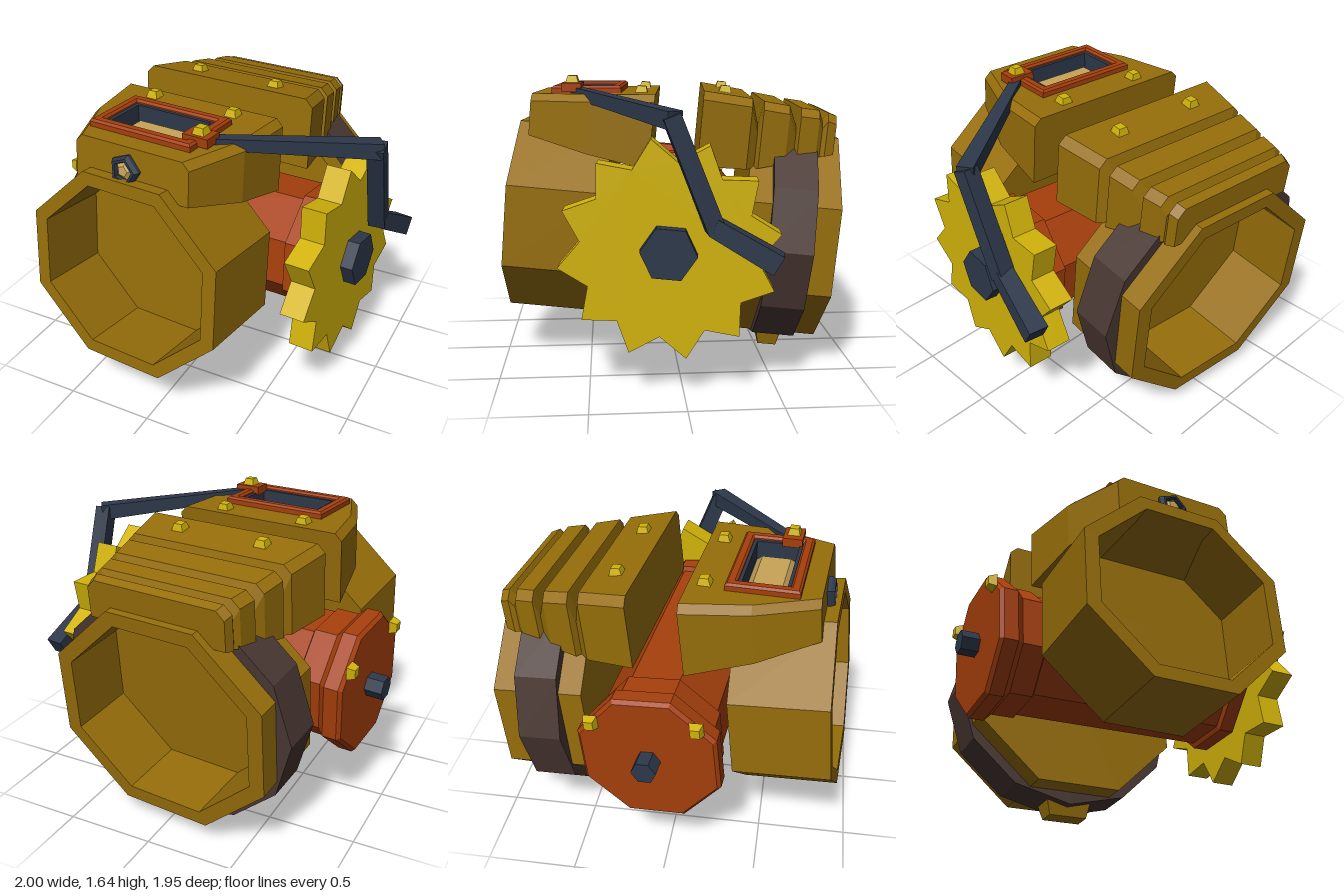
import * as THREE from 'three';

const mat = (name, color) => Object.assign(new THREE.MeshStandardMaterial({ color }), { name });

export function createModel() {
  const brass = mat('aged brass', 0x966e0a), yellow = mat('bright yellow', 0xd2b30a);
  const red = mat('rust red', 0xa63f0c), navy = mat('dark steel', 0x2d384a);
  const leather = mat('dark leather', 0x4a3833), tan = mat('pale glass', 0xc8a458);

  const model = new THREE.Group();
  model.name = 'device';
  // the body is turned and pitched slightly about its axle
  const body = new THREE.Group();
  body.name = 'body';
  body.position.y = 0.78;
  body.rotation.set(-0.09, -0.087, 0);
  model.add(body);

  // adds a faceted mesh
  const add = (parent, name, geo, material, x = 0, y = 0, z = 0) => {
    const g = geo.index ? geo.toNonIndexed() : geo;
    g.computeVertexNormals();
    const m = new THREE.Mesh(g, material);
    m.name = name;
    m.position.set(x, y, z);
    parent.add(m);
    return m;
  };
  const lathe = (pts, sides) =>
    new THREE.LatheGeometry(pts.map(p => new THREE.Vector2(...p)), sides, Math.PI / sides);
  const extrude = (shape, depth, bevel = 0) => new THREE.ExtrudeGeometry(shape, {
    depth, bevelEnabled: bevel > 0, bevelSize: bevel, bevelThickness: bevel, bevelSegments: 1 });
  const rect = (w, d, Type = THREE.Shape) => new Type(
    [[-w, -d], [w, -d], [w, d], [-w, d]].map(p => new THREE.Vector2(...p)));
  // four-sided frustum with bottom and top sizes
  const frustum = (w0, d0, w1, d1, h) => {
    const g = new THREE.BoxGeometry(1, h, 1), p = g.attributes.position;
    for (let i = 0; i < p.count; i++) {
      const top = p.getY(i) > 0;
      p.setX(i, p.getX(i) * (top ? w1 : w0));
      p.setZ(i, p.getZ(i) * (top ? d1 : d0));
    }
    return g;
  };
  const bolt = () => frustum(0.075, 0.075, 0.05, 0.05, 0.045);

  // chamfered housing from sections [z, half width, top, bottom, centre x]
  const housing = (sections, c, openTop) => {
    const pos = [], idx = [], n = 6;
    for (const [z, w, t, b, cx] of sections)
      for (const [x, y] of [[-w, b], [w, b], [w, t - c], [w - c, t], [c - w, t], [-w, t - c]])
        pos.push(cx + x, y, z);
    const last = (sections.length - 1) * n;
    for (let s = 0; s < last; s += n)
      for (let j = 0; j < n; j++) {
        if (openTop && j === 3) continue;
        const k = (j + 1) % n;
        idx.push(s + j, s + k, s + n + k, s + j, s + n + k, s + n + j);
      }
    for (let j = 1; j < n - 1; j++) idx.push(0, j + 1, j, last, last + j, last + j + 1);
    const g = new THREE.BufferGeometry();
    g.setAttribute('position', new THREE.Float32BufferAttribute(pos, 3));
    g.setIndex(idx);
    return g;
  };

  // octagonal barrels, hollow at their outer ends
  const barrel = (near, far, floor) => lathe(
    [[0, near], [0.63, near], [0.63, far], [0.545, far], [0.55, floor], [0, floor]], 8);
  add(body, 'frontBarrel', barrel(0.385, 0.92, 0.5).rotateX(Math.PI / 2), brass, -0.09, -0.02, 0)
    .scale.set(1, 0.935, 1);
  add(body, 'rearBarrel', barrel(0.39, 0.895, 0.5).rotateX(-Math.PI / 2), brass, -0.1, 0, 0)
    .scale.set(1.09, 1.01, 1);

  // twelve-sided strap, open under the ribbed cowl
  const strap = new THREE.Shape();
  const arc = (rx, ry, i) => {
    const a = (120 + i * 30) * Math.PI / 180;
    return [rx * Math.cos(a), ry * Math.sin(a)];
  };
  strap.moveTo(...arc(0.72, 0.665, 0));
  for (let i = 1; i <= 10; i++) strap.lineTo(...arc(0.72, 0.665, i));
  for (let i = 10; i >= 0; i--) strap.lineTo(...arc(0.62, 0.58, i));
  add(body, 'rearStrap', extrude(strap, 0.24), leather, -0.1, 0, -0.76);
  add(body, 'foot', frustum(0.24, 0.11, 0.3, 0.16, 0.12), brass, -0.09, -0.66, -0.64);

  // axle drum with its flange and collar, sagging a little at the flange end
  const axle = new THREE.Group();
  axle.name = 'axle';
  axle.position.y = -0.008;
  axle.rotation.z = 0.018;
  body.add(axle);
  const drum = [[0, -0.9], [0.385, -0.9], [0.405, -0.88], [0.405, -0.8], [0.365, -0.76], [0.365, -0.63],
    [0.345, -0.62], [0.345, 0.56], [0.375, 0.57], [0.375, 0.66], [0, 0.66]];
  add(axle, 'axleDrum', lathe(drum, 8).rotateZ(-Math.PI / 2), red);
  for (const z of [-0.28, 0.28])
    add(axle, 'flangeBolt', bolt().rotateZ(Math.PI / 2), yellow, -0.92, 0.235, z);
  add(axle, 'smallHub', new THREE.CylinderGeometry(0.068, 0.068, 0.12, 6).rotateZ(Math.PI / 2),
    navy, -0.94, 0, 0);

  // twelve-toothed gear
  const gear = new THREE.Shape();
  for (let i = 0; i < 24; i++) {
    const a = (14 + i * 15) * Math.PI / 180, r = i % 2 ? 0.457 : 0.58;
    gear[i ? 'lineTo' : 'moveTo'](r * Math.cos(a), r * Math.sin(a));
  }
  gear.closePath();
  add(body, 'gear', extrude(gear, 0.14).rotateY(Math.PI / 2), yellow, 0.68, 0, 0.012);
  add(body, 'gearHub', new THREE.CylinderGeometry(0.148, 0.148, 0.08, 6).rotateZ(-Math.PI / 2),
    navy, 0.85, 0, 0.012);

  // ribbed rear cowl, its grooves running down the sides
  const ribs = [[-0.85, 0.72, 0.41], [-0.8, 0.735, 0.425], [-0.775, 0.69, 0.41], [-0.75, 0.745, 0.435],
    [-0.645, 0.75, 0.455], [-0.63, 0.65, 0.425], [-0.58, 0.757, 0.47],
    [-0.435, 0.77, 0.495], [-0.415, 0.64, 0.46], [-0.37, 0.78, 0.507], [-0.1, 0.8, 0.56]];
  add(body, 'ribbedCowl', housing(ribs.map(([z, t, w]) =>
    [z, w, t, 0.395 + Math.max(0, -0.4 - z) * 0.25, -0.11]), 0.045), brass);
  for (const x of [-0.37, 0.145]) add(body, 'cowlBolt', bolt(), yellow, x, 0.805, -0.225);

  // front housing with a window opening in its top
  const topY = z => 0.768 - 0.09 * z;
  const plan = [[0.16, 0.525, 0.345, -0.115], [0.52, 0.48, 0.4, -0.09], [0.85, 0.35, 0.46, -0.075]];
  const c = 0.04;
  add(body, 'frontHousing', housing(plan.map(([z, w, b, x]) => [z, w, topY(z), b, x]), c, true), brass);
  const lid = new THREE.Shape();
  const rim = [...plan.map(([z, w, , x]) => [x + w - c, -z]),
    ...plan.map(([z, w, , x]) => [x - w + c, -z]).reverse()];
  rim.forEach((p, i) => lid[i ? 'lineTo' : 'moveTo'](...p));
  lid.closePath();
  const wx = -0.105, wz = 0.55;
  lid.holes.push(new THREE.Path([[-1, -1], [1, -1], [1, 1], [-1, 1]].map(
    ([a, b]) => new THREE.Vector2(wx + a * 0.25, -wz + b * 0.135))));
  const lidGeo = new THREE.ShapeGeometry(lid).rotateX(-Math.PI / 2), lp = lidGeo.attributes.position;
  for (let i = 0; i < lp.count; i++) lp.setY(i, topY(lp.getZ(i)));
  add(body, 'housingTop', lidGeo, brass);
  for (const x of [-0.365, 0.15]) add(body, 'housingBolt', bolt(), yellow, x, topY(0.245) + 0.015, 0.245);

  // window: raised frame, dark recess walls and pale pane
  const win = new THREE.Group();
  win.name = 'window';
  win.position.set(wx, topY(wz), wz);
  win.rotation.x = 0.09;
  body.add(win);
  const ring = (w, d, t, h, bevel) => {
    const s = rect(w, d);
    s.holes.push(rect(w - t, d - t, THREE.Path));
    return extrude(s, h, bevel).rotateX(-Math.PI / 2);
  };
  add(win, 'windowFrame', ring(0.303, 0.183, 0.034, 0.04, 0.012), red, 0, -0.012, 0);
  add(win, 'windowWalls', ring(0.257, 0.14, 0.022, 0.12), navy, 0, -0.1, 0);
  add(win, 'windowFloor', new THREE.BoxGeometry(0.5, 0.02, 0.27), navy, 0, -0.1, 0);
  add(win, 'windowPane', frustum(0.47, 0.235, 0.39, 0.16, 0.045), tan, 0, -0.07, 0);

  // five-sided lens on the housing front
  const lens = new THREE.Group();
  lens.name = 'frontLens';
  lens.position.set(-0.1, 0.57, 0);
  lens.rotation.z = -0.25;
  body.add(lens);
  const lensRim = [[0, 0.8], [0.09, 0.8], [0.09, 0.87], [0.074, 0.89], [0.058, 0.89], [0.052, 0.87], [0, 0.87]];
  add(lens, 'lensRim', lathe(lensRim, 5).rotateX(Math.PI / 2), navy);
  add(lens, 'lensGlass', lathe([[0, 0.865], [0.053, 0.868], [0.03, 0.885], [0, 0.885]], 5)
    .rotateX(Math.PI / 2), tan);

  // bent crank arm from the latch to beside the gear
  const path = [[0.17, 1.55, 0.55], [0.9, 1.465, 0.07], [0.885, 0.93, -0.14], [0.94, 0.745, -0.46]]
    .map(p => new THREE.Vector3(...p));
  const widths = [0.06, 0.09, 0.095, 0.11];
  for (let i = 0; i < 3; i++) {
    const a = path[i], b = path[i + 1], len = a.distanceTo(b) + (i < 2 ? 0.04 : 0);
    const g = frustum(widths[i], widths[i], widths[i + 1], widths[i + 1], len).rotateX(Math.PI / 2);
    const mid = a.clone().lerp(b, 0.5);
    add(model, 'crankArm', g, navy, mid.x, mid.y, mid.z).lookAt(b);
  }
  const latch = add(model, 'latch', new THREE.BoxGeometry(0.15, 0.05, 0.11), red, 0.14, 1.58, 0.575);
  const latchBolt = add(model, 'latchBolt', bolt(), yellow, 0.145, 1.62, 0.575);
  latch.rotation.y = latchBolt.rotation.y = -0.09;

  return model;
}
